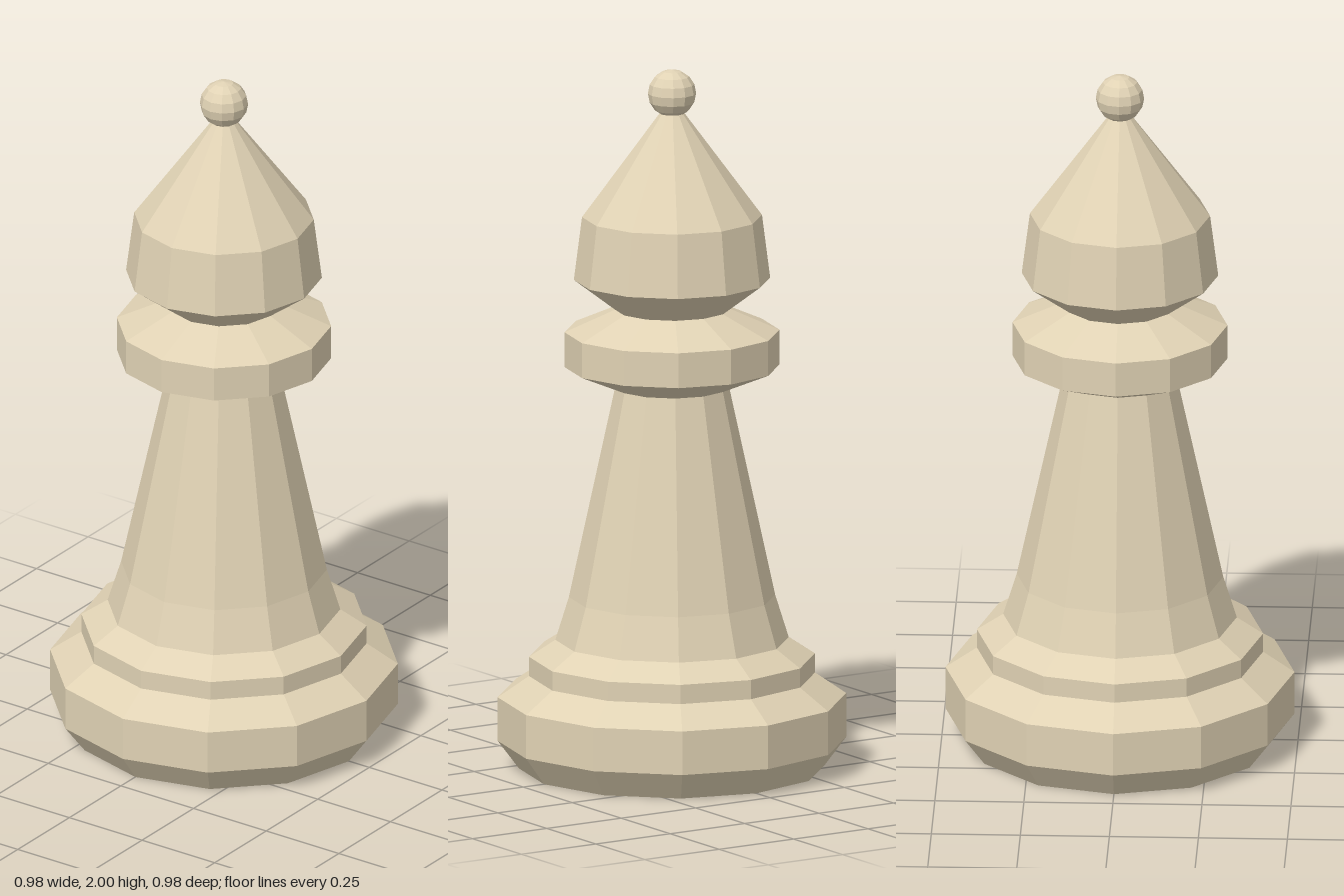
import * as THREE from 'three';

const SIDES = 12;

export function createModel() {
  const model = new THREE.Group();
  model.name = 'chessBishop';
  const material = new THREE.MeshStandardMaterial({ color: 0xe0d2b4, flatShading: true });

  const add = (name, geometry, y = 0) => {
    const mesh = new THREE.Mesh(geometry, material);
    mesh.name = name;
    mesh.position.y = y;
    model.add(mesh);
  };

  // Faceted turned part from [radius, height] pairs, bottom to top
  const turned = (name, profile) =>
    add(name, new THREE.LatheGeometry(profile.map(([r, y]) => new THREE.Vector2(r, y)), SIDES));

  // Stepped base with closed underside
  turned('base', [[0, 0], [0.43, 0], [0.49, 0.08], [0.49, 0.205], [0.402, 0.265], [0.402, 0.32], [0.328, 0.368]]);
  // Tapering stem with flared foot
  turned('stem', [[0.328, 0.368], [0.29, 0.49], [0.16, 1.09]]);
  // Bevelled ring under the head
  turned('collar', [[0.16, 1.09], [0.302, 1.15], [0.302, 1.25], [0.16, 1.313]]);
  // Pointed head
  turned('head', [[0.16, 1.313], [0.276, 1.4], [0.253, 1.58], [0.035, 1.875], [0, 1.875]]);
  // Ball on the tip
  add('finial', new THREE.SphereGeometry(0.068, SIDES, 8), 1.932);

  return model;
}
